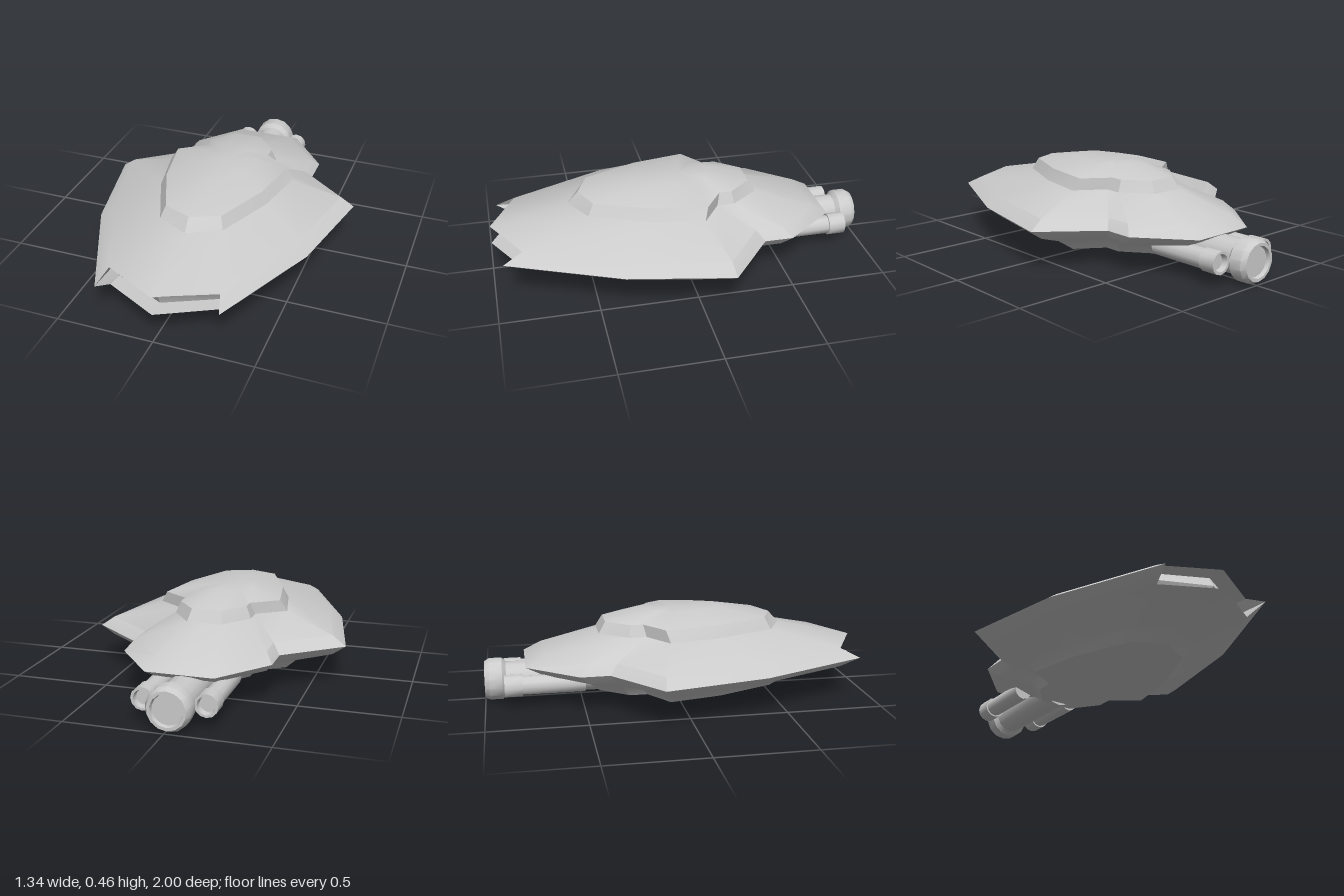
import * as THREE from 'three';
import { toCreasedNormals } from 'three/addons/utils/BufferGeometryUtils.js';

const grey = new THREE.MeshStandardMaterial({ color: 0xcccccc });
const greyDouble = new THREE.MeshStandardMaterial({ color: 0xcccccc, side: THREE.DoubleSide });

// Half outline (front to back, +x side) mirrored into a closed ring at height y
function ring(y, half) {
  const right = half.map(([x, z]) => [x, y, z]);
  const left = right.slice(1, -1).reverse().map(([x, h, z]) => [-x, h, z]);
  return [...right, ...left];
}

function build(name, triangles, material, crease) {
  const geo = new THREE.BufferGeometry();
  geo.setAttribute('position', new THREE.Float32BufferAttribute(triangles.flat(2), 3));
  const mesh = new THREE.Mesh(toCreasedNormals(geo, crease), material);
  mesh.name = name;
  return mesh;
}

const quad = (a, b, c, d) => [[a, b, c], [a, c, d]];

// Skin between two rings, lower one first; skipFront leaves the mouth open
function skin(low, high, skipFront = false) {
  const n = low.length, out = [];
  for (let i = 0; i < n; i++) {
    if (skipFront && (i === 0 || i === n - 1)) continue;
    const j = (i + 1) % n;
    out.push(...quad(low[i], low[j], high[j], high[i]));
  }
  return out;
}

function cap(r, up) {
  const centre = [0, r[0][1], 0];
  return r.map((p, i) => {
    const q = r[(i + 1) % r.length];
    return up ? [p, q, centre] : [q, p, centre];
  });
}

// Lathed tube pointing to the back; profile is [radius, z] from front to back
function tube(name, profile, x, y, sides) {
  const pts = profile.map(([r, z]) => new THREE.Vector2(r, -z));
  const geo = new THREE.LatheGeometry(pts, sides);
  geo.rotateX(-Math.PI / 2);
  const mesh = new THREE.Mesh(toCreasedNormals(geo, 0.6), greyDouble);
  mesh.position.set(x, y, 0);
  mesh.name = name;
  return mesh;
}

export function createModel() {
  const group = new THREE.Group();

  // Outlines of the hull and cabin
  const rimHalf = [[0, 0.95], [0.31, 0.95], [0.56, 0.38], [0.67, -0.15],
    [0.38, -0.38], [0.38, -0.53], [0.17, -0.79], [0, -0.79]];
  const lipHalf = [[0, 0.995], [0.28, 0.85], [0.5, 0.35], [0.6, -0.14],
    [0.34, -0.34], [0.34, -0.48], [0.15, -0.7], [0, -0.7]];
  const baseHalf = [[0, 0.585], [0.165, 0.5], [0.29, 0.2], [0.345, -0.07],
    [0.2, -0.17], [0.2, -0.26], [0.09, -0.405], [0, -0.405]];
  const bellyHalf = [[0, 0.68], [0.19, 0.57], [0.335, 0.23], [0.4, -0.085],
    [0.235, -0.2], [0.235, -0.3], [0.1, -0.47], [0, -0.47]];
  const shoulderHalf = [[0, 0.53], [0.145, 0.47], [0.26, 0.19], [0.31, -0.09],
    [0.175, -0.185], [0.175, -0.25], [0.075, -0.37], [0, -0.37]];
  const roofHalf = [[0, 0.26], [0.07, 0.23], [0.12, 0.1], [0.15, -0.04],
    [0.09, -0.085], [0.09, -0.115], [0.035, -0.17], [0, -0.17]];

  const rim = ring(0.21, rimHalf);
  const upperLip = ring(0.26, lipHalf), lowerLip = ring(0.16, lipHalf);
  const deck = ring(0.35, baseHalf);

  // Upper and lower hull shells
  group.add(build('upperHull', [
    ...skin(rim, upperLip, true), ...skin(upperLip, deck),
  ], greyDouble, 0.5));
  const belly = ring(0.09, bellyHalf), floor = ring(0.04, baseHalf);
  group.add(build('lowerHull', [
    ...skin(lowerLip, rim, true), ...skin(belly, lowerLip),
    ...skin(floor, belly), ...cap(floor, false),
  ], greyDouble, 0.5));

  // Cabin with a sharp shoulder and a soft roof
  const shoulder = ring(0.41, shoulderHalf), roof = ring(0.46, roofHalf);
  group.add(build('cabinWall', skin(deck, shoulder), grey, 0.4));
  group.add(build('cabinRoof', [...skin(shoulder, roof), ...cap(roof, true)], grey, 0.6));

  // Recessed front mouth with a wedge-shaped back wall
  const row = (y, xs, zs, zc) => [[-xs, y, zs], [0, y, zc], [xs, y, zs]];
  const rows = [
    row(0.26, 0.28, 0.85, 0.995), row(0.26, 0.27, 0.77, 0.9), row(0.21, 0.3, 0.79, 0.92),
    row(0.16, 0.27, 0.77, 0.9), row(0.16, 0.28, 0.85, 0.995),
  ];
  const mouth = [];
  for (let r = 0; r < 4; r++) for (let c = 0; c < 2; c++) {
    mouth.push(...quad(rows[r][c], rows[r + 1][c], rows[r + 1][c + 1], rows[r][c + 1]));
  }
  for (const c of [0, 2]) {
    const prong = [c ? 0.31 : -0.31, 0.21, 0.95];
    mouth.push(...quad(rows[0][c], rows[1][c], rows[2][c], prong));
    mouth.push(...quad(prong, rows[2][c], rows[3][c], rows[4][c]));
  }
  group.add(build('frontMouth', mouth, greyDouble, 0.3));

  // Main engine with a bevelled collar, and two smaller ones beside it
  group.add(tube('mainEngine', [[0, -0.36], [0.088, -0.36], [0.088, -0.89], [0.11, -0.91],
    [0.11, -0.975], [0.095, -1], [0.08, -1], [0.075, -0.98], [0, -0.98]], -0.013, 0.113, 14));
  for (const x of [-0.168, 0.14]) {
    group.add(tube('sideEngine', [[0, -0.49], [0.05, -0.49], [0.05, -0.81], [0.058, -0.81],
      [0.058, -0.9], [0.045, -0.9], [0.04, -0.87], [0, -0.87]], x, 0.118, 12));
  }
  return group;
}
